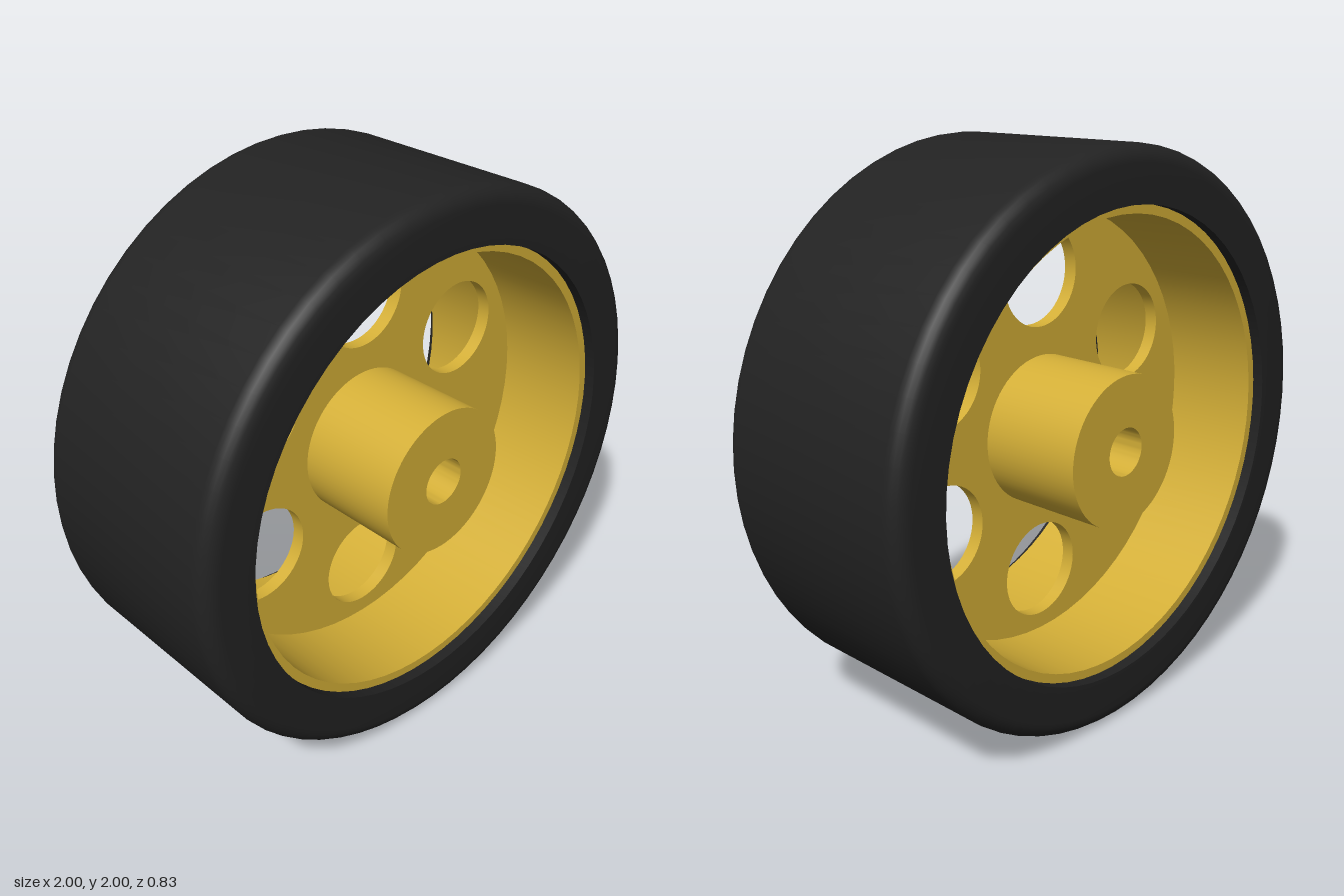
import * as THREE from 'three';
import { toCreasedNormals } from 'three/addons/utils/BufferGeometryUtils.js';

const SEGMENTS = 64;
const CENTRE_Y = 1;

// Closed ring around z: rectangular section, outer corners optionally rounded
function ring(inner, outer, halfWidth, corner = 0) {
  const pts = [new THREE.Vector2(inner, -halfWidth)];
  if (corner > 0) {
    const steps = 6;
    for (const side of [-1, 1]) {
      for (let i = 0; i <= steps; i++) {
        const a = (side < 0 ? -Math.PI / 2 : 0) + (i / steps) * Math.PI / 2;
        pts.push(new THREE.Vector2(
          outer - corner + corner * Math.cos(a),
          side * (halfWidth - corner) + corner * Math.sin(a)));
      }
    }
  } else {
    pts.push(new THREE.Vector2(outer, -halfWidth), new THREE.Vector2(outer, halfWidth));
  }
  pts.push(new THREE.Vector2(inner, halfWidth), pts[0].clone());
  const geo = new THREE.LatheGeometry(pts, SEGMENTS);
  geo.rotateX(Math.PI / 2);
  return toCreasedNormals(geo, 0.6);
}

// Thin web disc with a circle of lightening holes and an opening for the hub
function webDisc(radius, thickness) {
  const shape = new THREE.Shape();
  shape.absarc(0, 0, radius, 0, Math.PI * 2, false);
  const addHole = (x, y, r) => {
    const hole = new THREE.Path();
    hole.absarc(x, y, r, 0, Math.PI * 2, true);
    shape.holes.push(hole);
  };
  for (let i = 0; i < 6; i++) {
    const a = Math.PI / 6 + i * Math.PI / 3;
    addHole(0.543 * Math.cos(a), 0.543 * Math.sin(a), 0.177);
  }
  addHole(0, 0, 0.2);
  const geo = new THREE.ExtrudeGeometry(shape, {
    depth: thickness, bevelEnabled: false, curveSegments: 32,
  });
  geo.translate(0, 0, -thickness / 2);
  return toCreasedNormals(geo, 0.6);
}

export function createModel() {
  const group = new THREE.Group();
  group.name = 'wheel';
  const rubber = new THREE.MeshStandardMaterial({ color: 0x222222 });
  const yellow = new THREE.MeshStandardMaterial({ color: 0xd4af37 });

  const add = (name, geo, material) => {
    const mesh = new THREE.Mesh(geo, material);
    mesh.name = name;
    mesh.position.y = CENTRE_Y;
    group.add(mesh);
  };

  add('tyre', ring(0.812, 1, 0.413, 0.06), rubber);
  add('rim', ring(0.78, 0.815, 0.373), yellow);
  add('web', webDisc(0.79, 0.05), yellow);
  add('hub', ring(0.084, 0.265, 0.41), yellow);
  return group;
}
